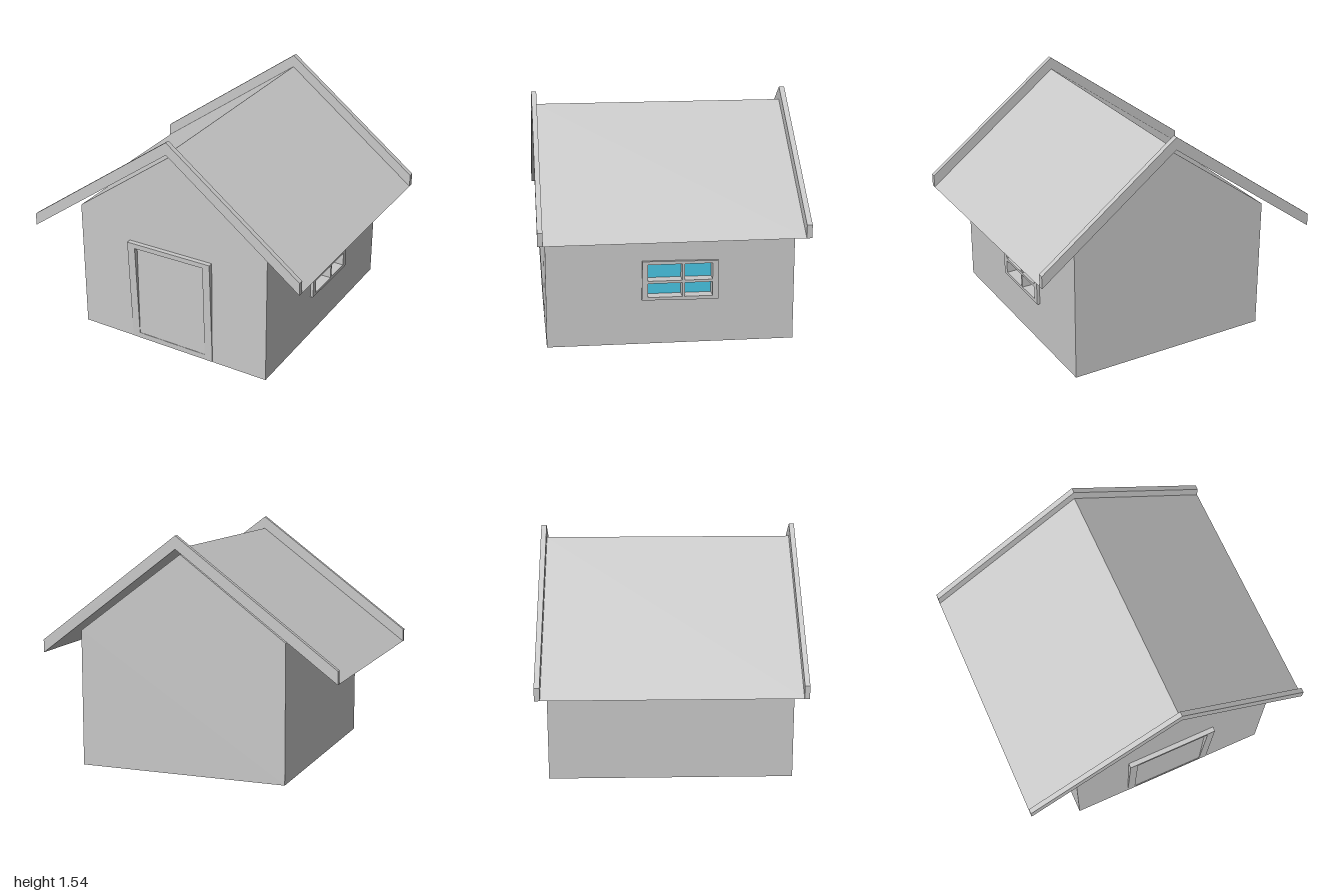
import * as THREE from 'three';

const wallMat = new THREE.MeshStandardMaterial({ color: 0xc8c8c8, side: THREE.DoubleSide });
wallMat.name = 'plain grey';
const glassMat = new THREE.MeshStandardMaterial({ color: 0x48c4e2, side: THREE.DoubleSide });
glassMat.name = 'blue glass';

const vectors = pts => pts.map(([x, y]) => new THREE.Vector2(x, y));

function shapeOf(pts, holes = []) {
  const s = new THREE.Shape(vectors(pts));
  holes.forEach(h => s.holes.push(new THREE.Path(vectors(h))));
  return s;
}

const extrude = (shape, depth) =>
  new THREE.ExtrudeGeometry(shape, { depth, bevelEnabled: false });

// Flat quad running along z above the line a-b in the xy plane
function strip(a, b, z0, z1) {
  const g = new THREE.BufferGeometry();
  g.setAttribute('position', new THREE.Float32BufferAttribute([
    a[0], a[1], z1, b[0], b[1], z1, b[0], b[1], z0, a[0], a[1], z0], 3));
  g.setIndex([0, 1, 2, 0, 2, 3]);
  g.computeVertexNormals();
  return g;
}

export function createModel() {
  const model = new THREE.Group();
  model.name = 'house';
  const add = (name, geo, mat = wallMat, parent = model) => {
    const m = new THREE.Mesh(geo, mat);
    m.name = name;
    parent.add(m);
    return m;
  };

  // Walls: two gables, floor, left-hand wall and the upper slopes
  const outline = [[-0.65, 0], [0.75, 0], [0.75, 0.9], [0.05, 1.42], [-0.65, 0.9]];
  const gable = shapeOf(outline);
  add('frontWall', new THREE.ShapeGeometry(gable)).position.z = 0.8;
  const back = add('backWall', new THREE.ShapeGeometry(gable).scale(-1, 1, 1).rotateY(Math.PI));
  back.geometry.index.array.reverse();
  back.position.z = -0.8;
  const names = ['floor', null, 'ceilingSlopeA', 'ceilingSlopeB', 'plainSideWall'];
  names.forEach((name, i) => {
    if (name) add(name, strip(outline[(i + 1) % 5], outline[i], -0.8, 0.8));
  });

  // Side wall with the window opening; shape x runs towards -z
  const frameOuter = [[-0.19, 0.3], [0.305, 0.293], [0.302, 0.552], [-0.185, 0.558]];
  const sideWall = shapeOf([[-0.8, 0], [0.8, 0], [0.8, 0.9], [-0.8, 0.9]], [frameOuter]);
  add('windowWall', new THREE.ShapeGeometry(sideWall).rotateY(Math.PI / 2)).position.x = 0.75;

  // Deep window frame with four panes
  const windowGroup = new THREE.Group();
  windowGroup.name = 'window';
  windowGroup.rotation.y = Math.PI / 2;
  windowGroup.position.x = 0.69;
  model.add(windowGroup);
  const panes = [];
  for (const [x0, x1] of [[-0.15, 0.07], [0.086, 0.266]])
    for (const [y0, y1] of [[0.318, 0.41], [0.427, 0.535]])
      panes.push([[x0, y0], [x1, y0], [x1, y1], [x0, y1]]);
  add('windowFrame', extrude(shapeOf(frameOuter, panes), 0.08), wallMat, windowGroup);
  panes.forEach(p => {
    add('windowPane', new THREE.ShapeGeometry(shapeOf(p)), glassMat, windowGroup).position.z = 0.001;
  });

  // Door frame leaning outwards towards its top
  const doorFrame = extrude(shapeOf(
    [[-0.27, 0], [0.352, 0], [0.352, 0.75], [-0.27, 0.742]],
    [[[-0.215, 0.04], [0.295, 0.04], [0.3, 0.716], [-0.215, 0.708]]]), 1);
  const p = doorFrame.attributes.position;
  for (let i = 0; i < p.count; i++)
    p.setZ(i, p.getZ(i) > 0.5 ? 0.801 + 0.031 * p.getY(i) / 0.75 : 0.79);
  doorFrame.computeVertexNormals();
  add('doorFrame', doorFrame);

  // Roof sheets with raised boards along the front and back edges
  const ridge = [0.06, 1.457];
  for (const [side, eave] of [['left', [1, 0.747]], ['right', [-1, 0.675]]]) {
    const [a, b] = eave[0] < ridge[0] ? [eave, ridge] : [ridge, eave];
    add(side + 'RoofSheet', strip(a, b, -0.82, 0.825));
    const board = shapeOf([a, b, [b[0], b[1] + 0.085], [a[0], a[1] + 0.085]]);
    add(side + 'FrontBoard', extrude(board, 0.033)).position.z = 0.817;
    add(side + 'BackBoard', extrude(board, 0.035)).position.z = -0.853;
  }
  return model;
}
